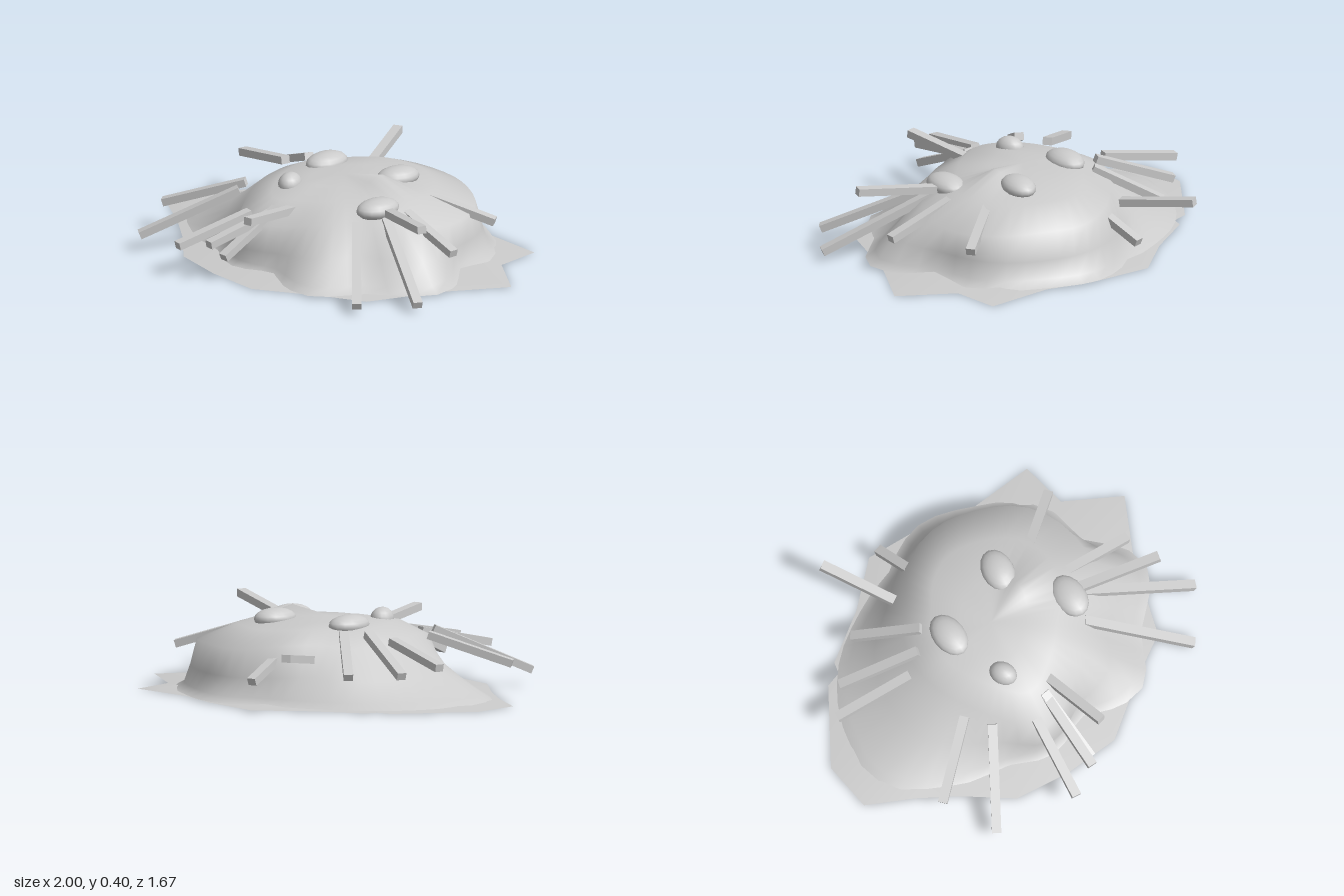
import * as THREE from 'three';

const material = new THREE.MeshStandardMaterial({ color: 0xcccccc, side: THREE.DoubleSide });

function surface(positions, index, name) {
  const g = new THREE.BufferGeometry();
  g.setAttribute('position', new THREE.Float32BufferAttribute(positions, 3));
  g.setIndex(index);
  g.computeVertexNormals();
  const mesh = new THREE.Mesh(g, material);
  mesh.name = name;
  return mesh;
}

// Fan of triangles from a centre point to a ragged ground outline
function fan(outline, centreY, up, name) {
  const pos = [0, centreY, 0], index = [], n = outline.length;
  outline.forEach(([x, z], i) => {
    pos.push(x, 0, z);
    const a = 1 + i, b = 1 + (i + 1) % n;
    index.push(0, ...(up ? [b, a] : [a, b]));
  });
  return surface(pos, index, name);
}

// Ground outline as [x, z], running from +x towards +z
const skirtOutline = [
  [1, 0.02], [0.77, 0.26], [0.55, 0.58], [0.32, 0.64], [0, 0.75], [-0.27, 0.68],
  [-0.52, 0.57], [-0.68, 0.35], [-0.82, 0.19], [-1, 0.02], [-0.95, -0.22],
  [-0.63, -0.49], [-0.55, -0.49], [-0.52, -0.54], [-0.25, -0.62], [0, -0.74],
  [0.3, -0.63], [0.5, -0.51], [0.82, -0.43], [0.79, -0.2],
];

// Sixteen directions round the mound, from +x towards +z
const footRadius = [0.7, 0.82, 0.69, 0.72, 0.56, 0.6, 0.6, 0.7, 0.84, 0.78, 0.7, 0.62, 0.6, 0.68, 0.69, 0.73];
const midRadius = [0.66, 0.72, 0.56, 0.58, 0.53, 0.59, 0.53, 0.55, 0.6, 0.58, 0.56, 0.52, 0.56, 0.61, 0.65, 0.68];
const midHeight = [0.12, 0.13, 0.14, 0.13, 0.11, 0.11, 0.13, 0.13, 0.12, 0.12, 0.12, 0.14, 0.13, 0.12, 0.12, 0.12];
const shoulderRadius = [0.63, 0.56, 0.46, 0.45, 0.48, 0.55, 0.46, 0.41, 0.4, 0.41, 0.42, 0.42, 0.5, 0.58, 0.61, 0.65];
const shoulderHeight = [0.23, 0.26, 0.27, 0.26, 0.235, 0.22, 0.265, 0.28, 0.28, 0.28, 0.26, 0.28, 0.275, 0.25, 0.25, 0.24];

// Smooth closed interpolation through a list of values
function sample(list, t) {
  const n = list.length, i = Math.floor(t), f = t - i;
  const [a, b, c, d] = [-1, 0, 1, 2].map((k) => list[(i + k + n) % n]);
  return b + 0.5 * f * (c - a + f * (2 * a - 5 * b + 4 * c - d + f * (3 * (b - c) + d - a)));
}

function createMound() {
  const sides = 48, pos = [], index = [], rings = 6;
  for (let s = 0; s < sides; s++) {
    const t = (s / sides) * 16, a = (s / sides) * Math.PI * 2;
    const foot = sample(footRadius, t), r = sample(shoulderRadius, t), h = sample(shoulderHeight, t);
    // A small peak rises on the +x side of the crown
    const peak = 0.05 * Math.max(0, Math.cos(a)) ** 24;
    const section = [
      [foot + 0.03, 0.008],
      [foot - 0.02, 0.035],
      [sample(midRadius, t), sample(midHeight, t)],
      [r, h],
      [r * 0.7, h * 0.4 + 0.225],
      [r * 0.35, 0.35 + peak],
    ];
    for (const [radius, y] of section) pos.push(radius * Math.cos(a), y, radius * Math.sin(a));
    const n = ((s + 1) % sides) * rings, m = s * rings;
    for (let k = 0; k < rings - 1; k++) {
      index.push(m + k, m + k + 1, n + k, n + k, m + k + 1, n + k + 1);
    }
    index.push(m + rings - 1, sides * rings, n + rings - 1);
  }
  pos.push(0, 0.36, 0);
  return surface(pos, index, 'mound');
}

// Spikes as outer end, then inner end
const spikes = [
  [-0.8, 0.15, 0.34, -0.43, 0.28, 0.18],
  [-0.74, 0.08, 0.62, -0.38, 0.29, 0.31],
  [-0.38, 0.16, 0.82, -0.22, 0.25, 0.45],
  [-0.22, 0.19, 0.79, -0.1, 0.27, 0.4],
  [-0.17, 0.12, 0.74, -0.1, 0.28, 0.4],
  [-0.05, 0.32, 0.71, -0.03, 0.28, 0.36],
  [0.61, 0.04, 0.75, 0.31, 0.26, 0.32],
  [0.84, 0.04, 0.57, 0.42, 0.28, 0.23],
  [0.76, 0.36, 0.42, 0.4, 0.31, 0.2],
  [0.79, 0.18, 0.2, 0.43, 0.29, 0.1],
  [0.73, 0.2, -0.23, 0.43, 0.3, -0.11],
  [-0.25, 0.28, -0.83, -0.16, 0.22, -0.46],
  [0.02, 0.13, -0.7, 0.01, 0.22, -0.48],
  [-0.41, 0.16, -0.52, -0.22, 0.32, -0.25],
  [-0.64, 0.17, -0.41, -0.32, 0.32, -0.19],
  [-0.79, 0.21, -0.31, -0.43, 0.29, -0.15],
];

function createSpike([x1, y1, z1, x2, y2, z2]) {
  const outer = new THREE.Vector3(x1, y1, z1), inner = new THREE.Vector3(x2, y2, z2);
  const mesh = new THREE.Mesh(new THREE.BoxGeometry(0.045, 0.037, outer.distanceTo(inner)), material);
  mesh.position.copy(outer).add(inner).multiplyScalar(0.5);
  mesh.lookAt(outer);
  mesh.name = 'spike';
  return mesh;
}

// Egg-shaped lumps: position, half width, half height, half length, turn
const lumps = [
  [-0.17, 0.345, -0.12, 0.078, 0.05, 0.115, -0.25],
  [0.23, 0.35, -0.14, 0.078, 0.05, 0.11, -0.45],
  [0.35, 0.315, 0.2, 0.08, 0.05, 0.115, -0.3],
  [-0.16, 0.335, 0.2, 0.055, 0.055, 0.07, 0.2],
];

export function createModel() {
  const model = new THREE.Group();
  model.name = 'spikyMound';
  model.add(
    fan(skirtOutline, 0.09, true, 'skirt'),
    fan(skirtOutline, 0, false, 'underside'),
    createMound(),
  );

  const spikeGroup = new THREE.Group();
  spikeGroup.name = 'spikes';
  for (const s of spikes) spikeGroup.add(createSpike(s));
  model.add(spikeGroup);

  for (const [x, y, z, w, h, l, turn] of lumps) {
    const lump = new THREE.Mesh(new THREE.SphereGeometry(1, 16, 10), material);
    lump.name = 'lump';
    lump.scale.set(w, h, l);
    lump.position.set(x, y, z);
    lump.rotation.y = turn;
    model.add(lump);
  }
  return model;
}
